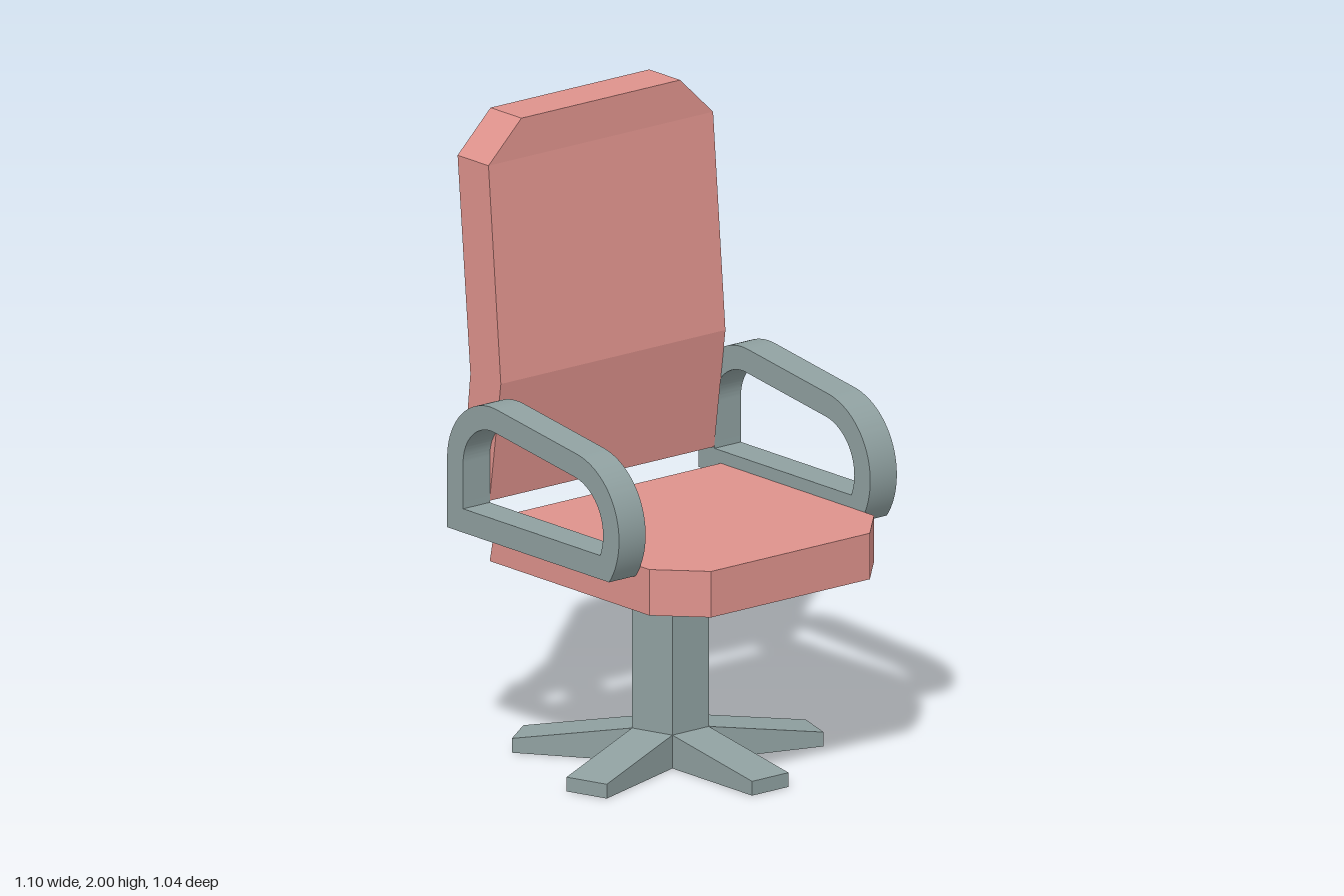
import * as THREE from 'three';
import { toCreasedNormals } from 'three/addons/utils/BufferGeometryUtils.js';

const cushion = new THREE.MeshStandardMaterial({ color: 0xde928c, flatShading: true });
const metal = new THREE.MeshStandardMaterial({ color: 0x8fa0a0, flatShading: true });
const metalSmooth = new THREE.MeshStandardMaterial({ color: 0x8fa0a0 });

function addMesh(parent, name, geometry, material) {
  const mesh = new THREE.Mesh(geometry, material);
  mesh.name = name;
  parent.add(mesh);
  return mesh;
}

// Unit box whose vertices are moved by rule(x, y, z) -> [x, y, z]
function shapedBox(segY, segZ, rule) {
  const geo = new THREE.BoxGeometry(1, 1, 1, 1, segY, segZ);
  const p = geo.attributes.position;
  for (let i = 0; i < p.count; i++) p.setXYZ(i, ...rule(p.getX(i), p.getY(i), p.getZ(i)));
  geo.computeVertexNormals();
  return geo;
}

// Closed D-shaped loop through two arcs, drawn with z as x; both loops share arc centres
function armOutline(ShapeType, inset) {
  const path = new ShapeType();
  const bottom = 0.74 + inset, front = 0.232 - inset, rear = 0.205 - inset;
  const tilt = Math.PI / 2 - 0.142;
  path.moveTo(-0.235 - rear, bottom);
  path.lineTo(0.135 + Math.sqrt(front ** 2 - (0.88 - bottom) ** 2), bottom);
  path.absarc(0.135, 0.88, front, Math.asin((bottom - 0.88) / front), tilt, false);
  path.absarc(-0.235, 0.96, rear, tilt, Math.PI, false);
  path.closePath();
  return path;
}

export function createModel() {
  const chair = new THREE.Group();
  chair.name = 'officeChair';

  // Seat: chamfered front corners, sloping rear edge
  const seatRows = [[-0.35, 0.443], [0.385, 0.443], [0.52, 0.313]];
  addMesh(chair, 'seat', shapedBox(1, 2, (x, y, z) => {
    const row = Math.round((z + 0.5) * 2);
    const [depth, half] = seatRows[row];
    return [Math.sign(x) * half, y > 0 ? 0.775 : 0.63, depth + (row === 0 ? y * 0.03 : 0)];
  }), cushion);

  // Backrest rows: height, half width, front z, back z
  const backRows = [
    [0.82, 0.443, -0.366, -0.497],
    [1.2, 0.443, -0.313, -0.456],
    [1.875, 0.443, -0.371, -0.516],
    [2, 0.313, -0.371, -0.516],
  ];
  addMesh(chair, 'backrest', shapedBox(3, 1, (x, y, z) => {
    const [height, half, front, back] = backRows[Math.round((y + 0.5) * 3)];
    return [Math.sign(x) * half, height, z > 0 ? front : back];
  }), cushion);

  // Armrests
  const outline = armOutline(THREE.Shape, 0);
  outline.holes.push(armOutline(THREE.Path, 0.075));
  let arm = new THREE.ExtrudeGeometry(outline, { depth: 0.105, bevelEnabled: false, curveSegments: 20 });
  arm.translate(0, 0, -0.0525).rotateY(-Math.PI / 2);
  arm = toCreasedNormals(arm, 0.4);
  for (const [name, side] of [['leftArmrest', 1], ['rightArmrest', -1]]) {
    addMesh(chair, name, arm, metalSmooth).position.x = side * 0.4955;
  }

  // Five-sided column with one sloping foot on each face
  const base = new THREE.Group();
  base.name = 'base';
  base.position.z = -0.048;
  chair.add(base);
  const column = new THREE.CylinderGeometry(0.122, 0.122, 0.63, 5);
  column.rotateY(Math.PI).translate(0, 0.315, 0);
  addMesh(base, 'column', column, metal);
  const foot = shapedBox(1, 1, (x, y, z) => [
    x * 0.1434,
    y < 0 ? 0 : z > 0 ? 0.045 : 0.105,
    z > 0 ? 0.473 : 0.0985,
  ]);
  for (let i = 0; i < 5; i++) {
    addMesh(base, `foot${i + 1}`, foot, metal).rotation.y = i * Math.PI * 2 / 5;
  }
  return chair;
}
